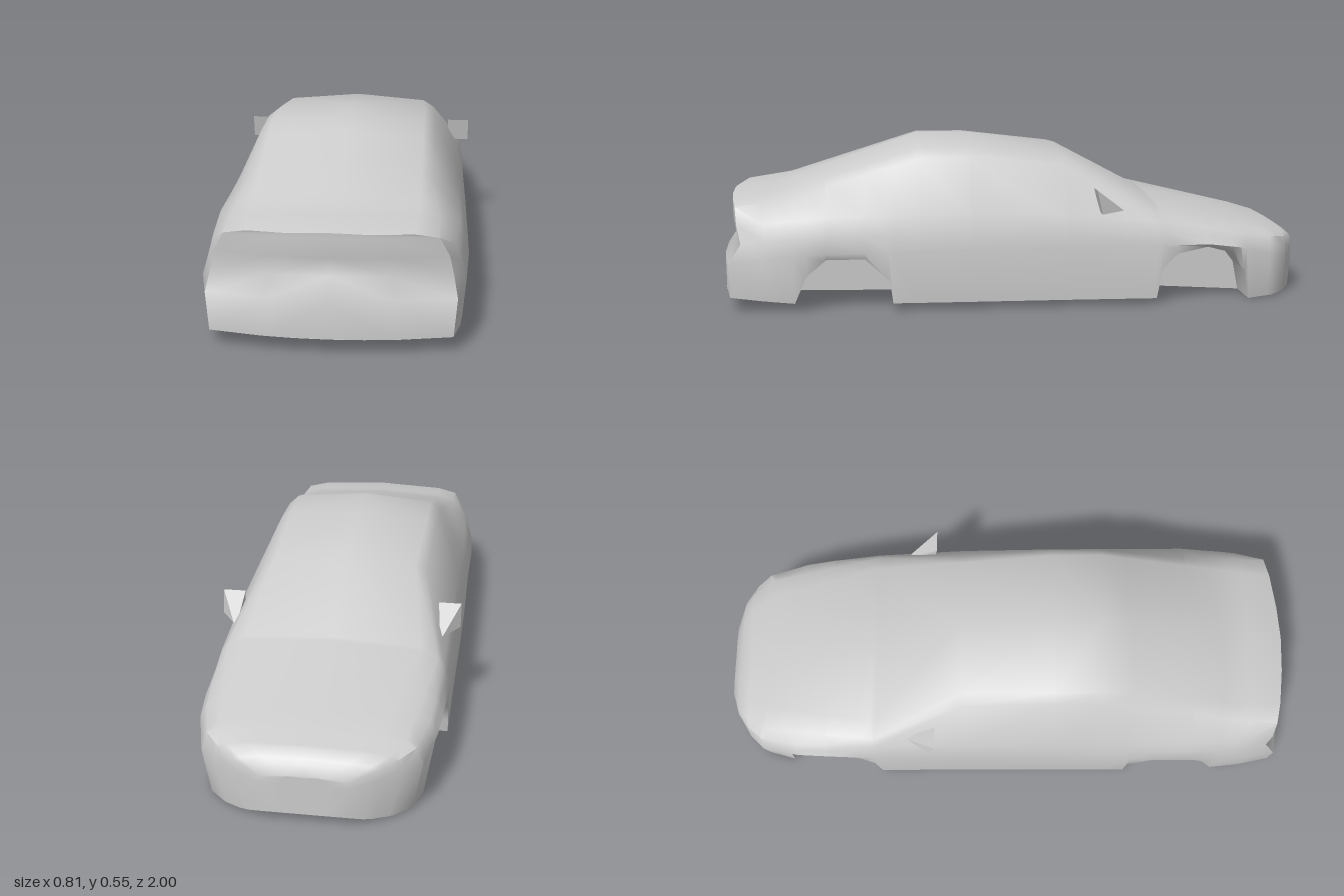
import * as THREE from 'three';
import { toCreasedNormals } from 'three/addons/utils/BufferGeometryUtils.js';
import { ConvexGeometry } from 'three/addons/geometries/ConvexGeometry.js';

const material = new THREE.MeshStandardMaterial({ color: 0xcccccc });

// Upper body by z: [z, centre height, edge x, edge y, shoulder x, shoulder y]
const roof = [
  [-1, 0.16, 0.07, 0.16, 0.12, 0.155],
  [-0.97, 0.203, 0.13, 0.2, 0.195, 0.193],
  [-0.94, 0.222, 0.17, 0.219, 0.235, 0.209],
  [-0.86, 0.245, 0.21, 0.24, 0.285, 0.228],
  [-0.47, 0.34, 0.29, 0.325, 0.345, 0.295],
  [-0.16, 0.505, 0.24, 0.485, 0.277, 0.46],
  [0.16, 0.545, 0.25, 0.522, 0.285, 0.495],
  [0.33, 0.545, 0.25, 0.522, 0.285, 0.49],
  [0.64, 0.44, 0.25, 0.425, 0.29, 0.4],
  [0.79, 0.388, 0.25, 0.378, 0.305, 0.36],
  [0.96, 0.36, 0.24, 0.355, 0.31, 0.342],
];

// Flanks by z: [z, belt x, belt y, widest x, widest y, sill x]
const flank = [
  [-1, 0.13, 0.15, 0.135, 0.11, 0.12],
  [-0.97, 0.215, 0.185, 0.22, 0.12, 0.2],
  [-0.93, 0.27, 0.2, 0.285, 0.14, 0.26],
  [-0.88, 0.315, 0.21, 0.335, 0.15, 0.31],
  [-0.75, 0.345, 0.23, 0.37, 0.185, 0.345],
  [-0.64, 0.355, 0.25, 0.38, 0.2, 0.37],
  [-0.47, 0.365, 0.275, 0.388, 0.2, 0.385],
  [-0.16, 0.37, 0.3, 0.39, 0.2, 0.385],
  [0.16, 0.37, 0.31, 0.395, 0.2, 0.388],
  [0.64, 0.37, 0.31, 0.4, 0.195, 0.39],
  [0.85, 0.36, 0.29, 0.39, 0.18, 0.375],
  [0.96, 0.34, 0.285, 0.365, 0.165, 0.355],
];

// Underside height and the outlines of the wheel arches: [z, y]
const floor = [[-1, 0.03], [-0.98, 0.016], [-0.94, 0.006], [-0.79, 0], [-0.46, 0.02], [0.42, 0.025], [0.74, 0.03], [0.96, 0.048]];
const arches = [
  [[-0.79, 0], [-0.77, 0.1], [-0.72, 0.165], [-0.635, 0.19], [-0.53, 0.17], [-0.48, 0.12], [-0.46, 0.02]],
  [[0.42, 0.025], [0.43, 0.1], [0.51, 0.175], [0.635, 0.175], [0.7, 0.12], [0.74, 0.03]],
];

function sample(table, z) {
  let i = 1;
  while (i < table.length - 1 && table[i][0] < z) i++;
  const a = table[i - 1], b = table[i];
  const t = THREE.MathUtils.clamp((z - a[0]) / (b[0] - a[0]), 0, 1);
  return a.map((v, k) => v + (b[k] - v) * t);
}

// Half section from the roof centre over the flank, through the wheel well, to the floor centre
function section(z, widthScale = 1) {
  const [, top, x1, y1, x2, y2] = sample(roof, z);
  const [, x3, y3, x5, y5, x6] = sample(flank, z);
  const base = sample(floor, z)[1];
  const arch = arches.find((a) => z >= a[0][0] && z <= a[a.length - 1][0]);
  const low = arch ? sample(arch, z)[1] : base;
  const well = Math.min(0.2, x6 * 0.6);
  const points = [
    [0, top], [x1, y1], [x2, y2], [x3, y3], [(x3 + x5) / 2, (y3 + y5) / 2],
    [x5, y5], [x6, low], [well, low], [well, base], [0, base],
  ];
  // The tail bows in plan and its bumper stands proud
  const tail = THREE.MathUtils.smoothstep(z, 0.78, 0.96);
  return points.map(([x, y], j) => {
    const px = x * widthScale;
    const bumper = j === 4 ? -0.005 : j > 4 ? 0.035 : 0.005;
    return new THREE.Vector3(px, y, z + tail * (bumper - 0.35 * px * px));
  });
}

function bodyGeometry() {
  const levels = [roof, flank, floor, ...arches].flat().map((row) => row[0]);
  const stations = [...new Set(levels)].sort((a, b) => a - b);
  const rings = [
    section(-1, 0), section(-1, 0.5),
    ...stations.map((z) => section(z)),
    section(0.96, 0.5), section(0.96, 0),
  ];
  const positions = [];
  const triangle = (a, b, c) => {
    if (new THREE.Triangle(a, b, c).getArea() < 1e-8) return;
    for (const p of [a, b, c]) positions.push(p.x, p.y, p.z);
    for (const p of [a, c, b]) positions.push(-p.x, p.y, p.z);
  };
  for (let i = 0; i < rings.length - 1; i++) {
    for (let j = 0; j < rings[i].length - 1; j++) {
      const a = rings[i][j], b = rings[i][j + 1];
      const c = rings[i + 1][j], d = rings[i + 1][j + 1];
      triangle(a, c, b);
      triangle(b, c, d);
    }
  }
  const geometry = new THREE.BufferGeometry();
  geometry.setAttribute('position', new THREE.Float32BufferAttribute(positions, 3));
  // Creasing welds points on a coarse grid, so work at a larger scale
  geometry.scale(100, 100, 100);
  return toCreasedNormals(geometry, 0.85).scale(0.01, 0.01, 0.01);
}

// Wedge-shaped door mirror with a flat glass side
function mirrorGeometry(side) {
  const corners = [
    [0.33, 0.39, -0.252], [0.405, 0.39, -0.252],
    [0.33, 0.312, -0.27], [0.405, 0.312, -0.27],
    [0.34, 0.315, -0.35], [0.352, 0.315, -0.35],
  ];
  return new ConvexGeometry(corners.map(([x, y, z]) => new THREE.Vector3(x * side, y, z)));
}

export function createModel() {
  const car = new THREE.Group();
  car.name = 'car';

  const body = new THREE.Mesh(bodyGeometry(), material);
  body.name = 'body';
  car.add(body);

  for (const side of [1, -1]) {
    const mirror = new THREE.Mesh(mirrorGeometry(side), material);
    mirror.name = side > 0 ? 'leftMirror' : 'rightMirror';
    car.add(mirror);
  }
  return car;
}
